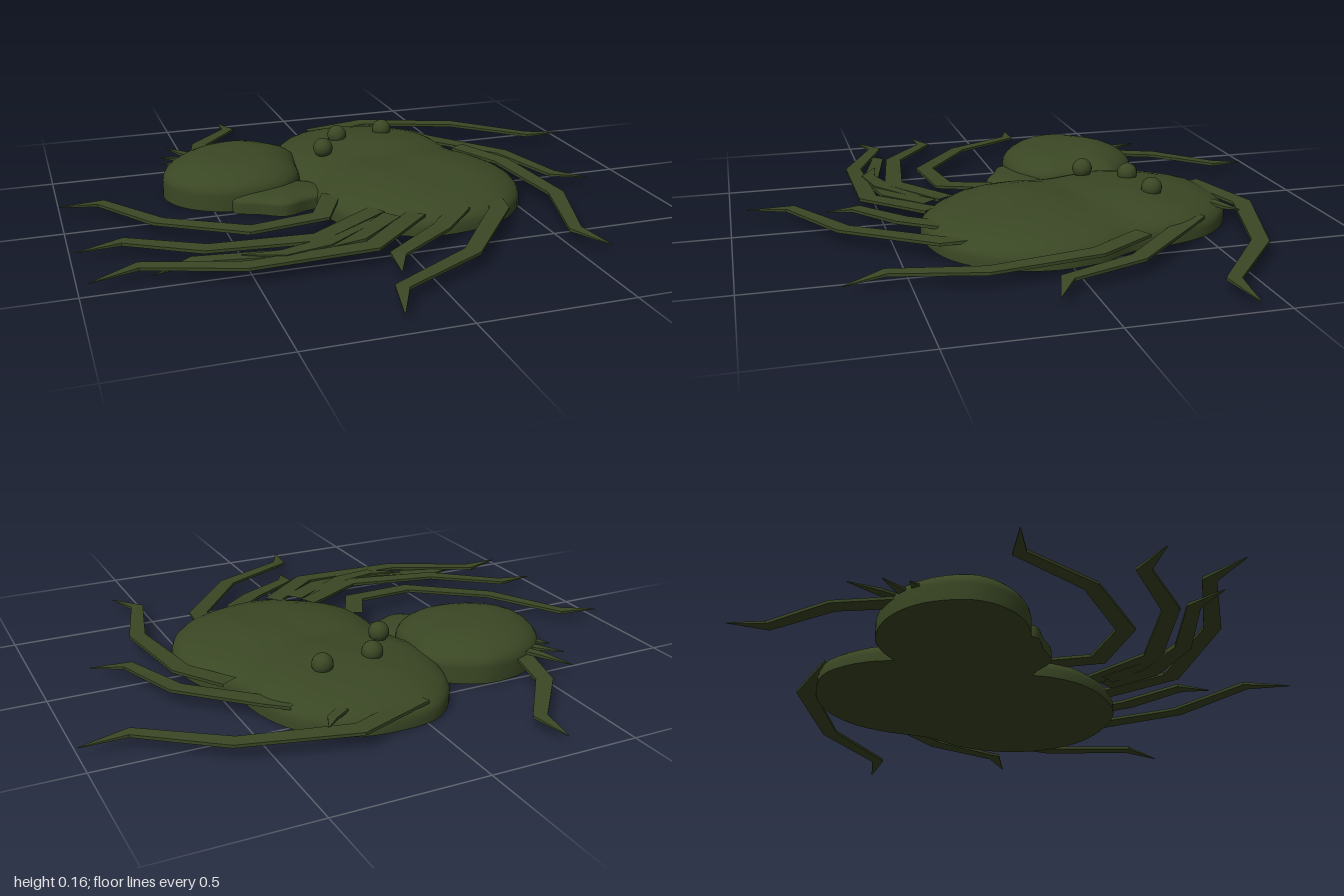
import * as THREE from 'three';

const olive = new THREE.MeshStandardMaterial({ color: 0x3a4724 });
olive.name = 'dark olive';
const oliveFlat = olive.clone();
oliveFlat.flatShading = true;

function build(positions, index) {
  const geo = new THREE.BufferGeometry();
  geo.setAttribute('position', new THREE.Float32BufferAttribute(positions, 3));
  geo.setIndex(index);
  geo.computeVertexNormals();
  return geo;
}

// Flat-bottomed mound over a closed [x, z] outline, running clockwise from above
function mound(name, outline, [cx, cz], wall, height, steps = 72) {
  const curve = new THREE.CatmullRomCurve3(outline.map(([x, z]) => new THREE.Vector3(x, 0, z)), true);
  const rim = curve.getPoints(steps).slice(0, steps);
  const levels = [1, 1, 0.985, 0.95, 0.89, 0.8, 0.68, 0.54, 0.38, 0.2, 0.02];
  const pos = [], idx = [];
  levels.forEach((t, i) => {
    for (const p of rim) {
      const x = cx + (p.x - cx) * t, z = cz + (p.z - cz) * t;
      const dome = Math.sqrt(1 - Math.pow(t, 2.4));
      const y = i === 0 ? 0 : wall + (height(x, z) - wall) * dome;
      pos.push(x, y, z);
    }
  });
  for (let i = 0; i < levels.length - 1; i++) {
    for (let j = 0; j < steps; j++) {
      const a = i * steps + j, b = i * steps + (j + 1) % steps;
      idx.push(a, a + steps, b, b, a + steps, b + steps);
    }
  }
  // closing point on top, then a separate underside for a crisp lower edge
  const top = pos.length / 3, last = (levels.length - 1) * steps;
  pos.push(cx, height(cx, cz), cz);
  const under = top + 1;
  pos.push(cx, 0, cz);
  for (const p of rim) pos.push(p.x, 0, p.z);
  for (let j = 0; j < steps; j++) {
    const k = (j + 1) % steps;
    idx.push(top, last + k, last + j, under, under + 1 + j, under + 1 + k);
  }
  const mesh = new THREE.Mesh(build(pos, idx), olive);
  mesh.name = name;
  return mesh;
}

// Thin flat jointed limb along [x, z] points, mitred at joints, tapering to a point
function limb(name, path, width, y0 = 0.065, y1 = 0.03) {
  const pts = path.map(([x, z]) => new THREE.Vector2(x, z));
  const n = pts.length - 1, pos = [], idx = [];
  pts.forEach((p, i) => {
    const d0 = pts[Math.max(i, 1)].clone().sub(pts[Math.max(i, 1) - 1]).normalize();
    const d1 = pts[Math.min(i + 1, n)].clone().sub(pts[Math.min(i, n - 1)]).normalize();
    const d = d0.clone().add(d1).normalize();
    const mitre = 1 / Math.max(0.6, d.dot(d1));
    const f = i / n;
    const w = (i === n ? 0.001 : width * 0.5 * (1 - 0.6 * f * f)) * mitre;
    const y = y0 + (y1 - y0) * f, h = i === n ? 0.001 : 0.005;
    const nx = -d.y * w, nz = d.x * w;
    pos.push(p.x - nx, y + h, p.y - nz, p.x + nx, y + h, p.y + nz,
      p.x + nx, y - h, p.y + nz, p.x - nx, y - h, p.y - nz);
  });
  for (let i = 0; i < n; i++) {
    for (let k = 0; k < 4; k++) {
      const a = i * 4 + k, b = i * 4 + (k + 1) % 4;
      idx.push(a, b, a + 4, b, b + 4, a + 4);
    }
  }
  const mesh = new THREE.Mesh(build(pos, idx), oliveFlat);
  mesh.name = name;
  return mesh;
}

export function createModel() {
  const model = new THREE.Group();
  model.name = 'flatCreature';

  // Two-lobed main body with a shallow waist
  const bodyOutline = [[-0.19, -0.42], [-0.15, -0.53], [-0.05, -0.635], [0.08, -0.66], [0.24, -0.635],
    [0.37, -0.53], [0.43, -0.4], [0.46, -0.23], [0.53, -0.1], [0.555, 0.06], [0.51, 0.22], [0.4, 0.34],
    [0.27, 0.39], [0.11, 0.395], [-0.02, 0.33], [-0.12, 0.22], [-0.16, 0.1], [-0.16, -0.06], [-0.2, -0.2], [-0.21, -0.32]];
  const bodyHeight = (x, z) => 0.127 - 0.014 * Math.exp(-Math.pow((z + 0.13) / 0.12, 2))
    + 0.004 * Math.sin(17 * x + 5 * z) * Math.sin(15 * z - 4 * x);
  model.add(mound('body', bodyOutline, [0.17, -0.13], 0.03, bodyHeight));

  // Rounded head lobe at the side
  const headOutline = [[-0.14, -0.36], [-0.16, -0.22], [-0.18, -0.12], [-0.25, -0.045], [-0.37, -0.015],
    [-0.5, -0.04], [-0.6, -0.12], [-0.64, -0.23], [-0.59, -0.38], [-0.48, -0.47], [-0.33, -0.495],
    [-0.24, -0.46], [-0.19, -0.42]];
  const headHeight = (x, z) => 0.142 + 0.004 * Math.sin(14 * x) * Math.cos(16 * z);
  model.add(mound('head', headOutline, [-0.39, -0.25], 0.055, headHeight));

  // Low pointed jaw between head and body
  const jawOutline = [[-0.2, -0.14], [-0.1, -0.06], [-0.12, 0.02], [-0.2, 0.05], [-0.28, 0.078],
    [-0.36, 0.035], [-0.44, -0.01], [-0.4, -0.1]];
  model.add(mound('jaw', jawOutline, [-0.26, -0.03], 0.035, () => 0.065, 40));

  // Bead eyes
  for (const [x, z] of [[0.035, -0.355], [0.22, -0.375], [-0.06, -0.22]]) {
    const eye = new THREE.Mesh(new THREE.SphereGeometry(0.035, 20, 14), olive);
    eye.name = 'eye';
    eye.position.set(x, 0.128, z);
    model.add(eye);
  }

  // Jointed legs, from body to tip
  const legs = [
    [[-0.46, -0.36], [-0.475, -0.45], [-0.435, -0.635], [-0.283, -0.825], [-0.295, -0.95]],
    [[0, -0.61], [0.25, -0.695], [0.6, -0.593], [0.845, -0.39], [1, -0.4]],
    [[0.36, -0.48], [0.42, -0.41], [0.635, -0.18], [0.715, 0.07], [0.83, 0.125]],
    [[0.48, -0.25], [0.58, -0.07], [0.62, 0.28], [0.535, 0.57], [0.59, 0.705]],
    [[0.38, 0.24], [0.365, 0.37], [0.145, 0.65], [-0.138, 0.8], [-0.185, 0.945]],
    [[0.24, 0.34], [0.125, 0.455], [-0.07, 0.585], [-0.095, 0.685]],
    [[0.08, 0.35], [-0.13, 0.535], [-0.52, 0.54], [-0.82, 0.42], [-0.97, 0.475]],
    [[0, 0.34], [-0.15, 0.455], [-0.37, 0.495], [-0.66, 0.43], [-0.785, 0.48]],
    [[-0.03, 0.28], [-0.27, 0.425], [-0.61, 0.375], [-0.84, 0.218], [-0.985, 0.24]],
    [[-0.13, 0.1], [-0.21, 0.255], [-0.45, 0.28], [-0.71, 0.1], [-0.865, -0.145], [-1, -0.17]],
  ];
  for (const path of legs) model.add(limb('leg', path, 0.064));

  // Extra strut that thickens the cluster of side legs
  model.add(limb('leg', [[-0.06, 0.33], [-0.26, 0.47], [-0.4, 0.5], [-0.52, 0.46]], 0.06, 0.06, 0.05));

  // Small spikes around the head and rear
  const spikes = [
    [[-0.46, -0.4], [-0.52, -0.5], [-0.57, -0.6]],
    [[-0.48, -0.37], [-0.54, -0.44], [-0.61, -0.5]],
    [[-0.53, -0.38], [-0.57, -0.395], [-0.61, -0.42]],
    [[0.25, -0.58], [0.3, -0.61], [0.33, -0.65]],
  ];
  for (const path of spikes) model.add(limb('spike', path, 0.036, 0.07, 0.06));

  return model;
}
